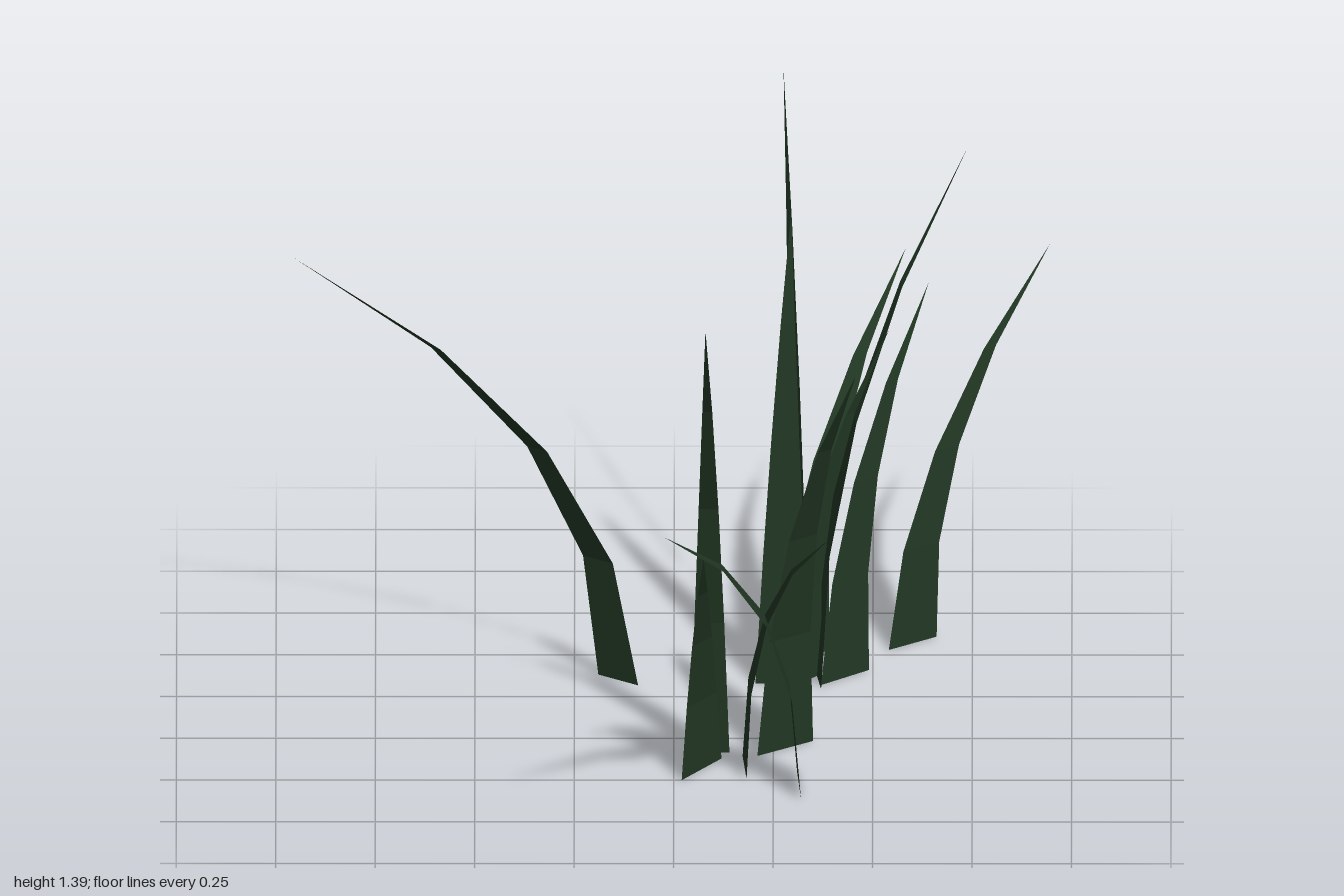
import * as THREE from 'three';

const grassGreen = new THREE.MeshStandardMaterial({ color: 0x223824, side: THREE.DoubleSide, flatShading: true });
grassGreen.name = 'grassGreen';

// Each blade: base centre [x, z], base width vector [x, z], tip [x, y, z]
const blades = [
  // front clump
  { base: [0.09, 0.083], width: [0.1, 0.005], tip: [0.08, 1.36, 0.5] },
  { base: [0.07, 0.185], width: [0.1, -0.13], tip: [0.075, 0.74, 0.52] },
  { base: [0.28, 0.06], width: [0.14, -0.09], tip: [0.457, 1.16, 0.34] },
  { base: [0.315, 0.28], width: [0.01, 0.16], tip: [-0.025, 1.02, 1.0] },
  { base: [0.178, 0.175], width: [0.01, 0.14], tip: [0.39, 0.885, 0.725] },
  // lone blade on the right
  { base: [-0.14, -0.35], width: [0.1, 0.065], tip: [-0.955, 1.24, -0.195] },
  // back clump
  { base: [0.6, -0.57], width: [0.12, -0.08], tip: [0.945, 0.945, -0.92] },
  { base: [0.32, -0.49], width: [0.14, -0.07], tip: [0.582, 0.96, -0.86] },
  { base: [0.31, -0.38], width: [0.06, 0.14], tip: [0.275, 1.39, -1.0] },
  { base: [0.275, -0.33], width: [0.14, 0.0], tip: [0.295, 1.25, -0.46] },
  { base: [0.36, -0.37], width: [0.02, 0.15], tip: [0.735, 1.265, -0.79] },
  { base: [0.32, -0.335], width: [0.1, -0.1], tip: [0.54, 0.93, -0.435] },
  { base: [0.43, -0.365], width: [0.12, -0.09], tip: [0.64, 0.985, -0.6] },
];

// Tapering ribbon of four segments that bends outwards as it rises
function bladeGeometry({ base, width, tip }) {
  const segments = 4, positions = [], indices = [];
  for (let i = 0; i <= segments; i++) {
    const t = i / segments, bend = t * t, half = (1 - t) / 2;
    const x = base[0] + (tip[0] - base[0]) * bend;
    const z = base[1] + (tip[2] - base[1]) * bend;
    const y = tip[1] * (1.12 * t - 0.12 * bend);
    if (i === segments) {
      positions.push(x, y, z);
      break;
    }
    for (const s of [-half, half]) positions.push(x + width[0] * s, y, z + width[1] * s);
    const a = i * 2;
    indices.push(a, a + 1, a + 2);
    if (i < segments - 1) indices.push(a + 1, a + 3, a + 2);
  }
  const geometry = new THREE.BufferGeometry();
  geometry.setAttribute('position', new THREE.Float32BufferAttribute(positions, 3));
  geometry.setIndex(indices);
  geometry.computeVertexNormals();
  return geometry;
}

export function createModel() {
  const group = new THREE.Group();
  group.name = 'grassTuft';
  blades.forEach((blade, i) => {
    const mesh = new THREE.Mesh(bladeGeometry(blade), grassGreen);
    mesh.name = `grassBlade${i + 1}`;
    group.add(mesh);
  });
  return group;
}
